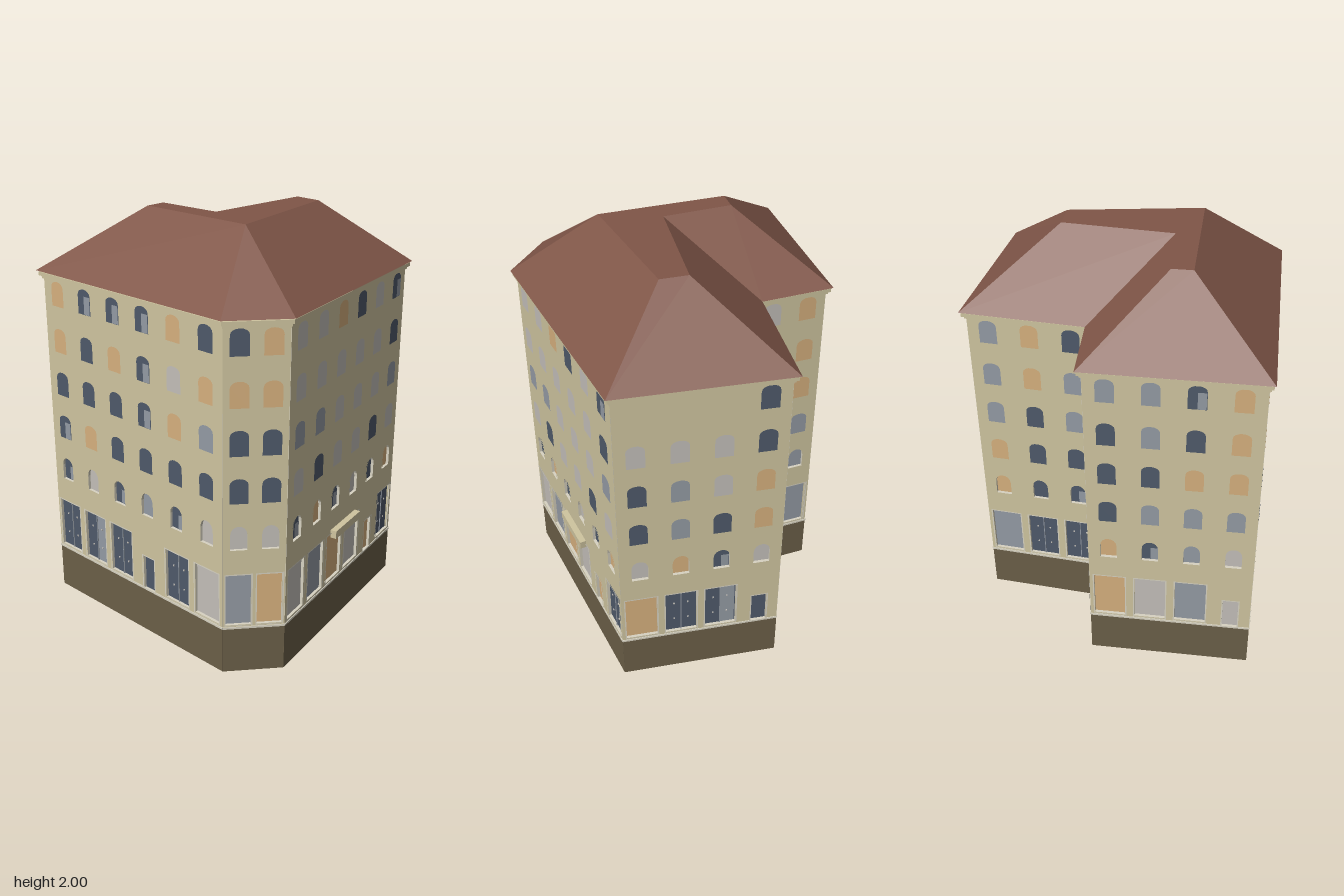
import * as THREE from 'three';

const mat = (name, color) => {
  const m = new THREE.MeshStandardMaterial({ color, side: THREE.DoubleSide });
  m.name = name;
  return m;
};
const M = {
  wall: mat('cream plaster', 0xcfc5a0),
  plinth: mat('brown stone', 0x6b5f48),
  roof: mat('red brown tile', 0x805648),
  trim: mat('pale trim', 0xd8d3c2),
  d: mat('dark glass', 0x4f5a6a),
  b: mat('blue grey glass', 0x949ba4),
  l: mat('light curtain', 0xc3bfb9),
  t: mat('tan blind', 0xd6b07e),
};

// Eave outline (x, z), going left to right as seen from outside
const EAVE = [[-0.86, 0.22], [0.16, 0.81], [0.45, 0.71], [0.855, -0.34],
  [0.205, -0.815], [-0.13, -0.335], [-0.44, -0.5]];
// Flat roof top: the corner above each eave corner
const TOP = [[-0.345, 0.085], [0.175, 0.385], [0.175, 0.385], [0.405, -0.21],
  [0.295, -0.28], [-0.007, 0.153], [-0.295, 0]];

// Window codes per facade, top floor to ground floor; h = half-drawn curtain, . = blank
const FACADES = [
  { name: 'frontFacade', door: 3, rows: ['thhhtd', 'tdthlt', 'dddhtb', 'htdddd', 'hlhbhl', 'dhdddl'] },
  { name: 'cornerFacade', door: -1, rows: ['dt', 'tt', 'dd', 'dd', 'll', 'bt'] },
  { name: 'leftFacade', door: 4, canopy: 3, rows: ['lltdlh', 'llllld', 'bblllb', 'ldlldl', 'hthldt', 'lbtltd'] },
  { name: 'backFacade', door: 3, rows: ['...d', 'llld', 'dblt', 'dbdt', 'lthl', 'tdhd'] },
  { name: 'innerFacade', door: -1, rows: ['btd', 'btb', 'bdb', 'tdd', 'tdh', 'bdd'] },
  { name: 'recessFacade', door: -1, rows: ['lt', 'lt', 'bt', 'db', 'lb', 'db'] },
  { name: 'rightFacade', door: 3, rows: ['bbht', 'dbdt', 'ddtt', 'dbbb', 'thbl', 'tlbl'] },
];
const UPPER_Y = [1.54, 1.31, 1.09, 0.865];
const WALL_BASE = 0.23, WALL_TOP = 1.68, THICK = 0.02;

function add(parent, name, geometry, material, x = 0, y = 0, z = 0) {
  const mesh = new THREE.Mesh(geometry, material);
  mesh.name = name;
  mesh.position.set(x, y, z);
  parent.add(mesh);
  return mesh;
}

// Shrinks the outline by d, meeting neighbouring edges at their crossing
function inset(points, d) {
  const n = points.length;
  const lines = points.map(([x, z], i) => {
    const [x2, z2] = points[(i + 1) % n];
    const len = Math.hypot(x2 - x, z2 - z);
    const nx = -(z2 - z) / len, nz = (x2 - x) / len;
    return [nx, nz, nx * x + nz * z - d];
  });
  return lines.map(([a, b, c], i) => {
    const [p, q, r] = lines[(i + n - 1) % n];
    const det = a * q - b * p;
    return [(c * q - b * r) / det, (a * r - c * p) / det];
  });
}

// Opening outlines, drawn into a Shape or a Path
function rect(p, x, y, w, h) {
  p.moveTo(x - w / 2, y).lineTo(x + w / 2, y).lineTo(x + w / 2, y + h).lineTo(x - w / 2, y + h);
  p.closePath();
  return p;
}
function arch(p, x, y, w, h, rise) {
  const s = y + h - rise;
  p.moveTo(x - w / 2, y).lineTo(x + w / 2, y).lineTo(x + w / 2, s);
  p.bezierCurveTo(x + w / 2, s + rise * 1.33, x - w / 2, s + rise * 1.33, x - w / 2, s);
  p.closePath();
  return p;
}
const plate = (shape) => new THREE.ShapeGeometry(shape, 8);

// A pane, with a curtain over the right half where coded h
function pane(g, code, name, draw, x, y, w, h, z, rise) {
  add(g, name, plate(draw(new THREE.Shape(), x, y, w, h, rise)), M[code === 'h' ? 'd' : code], 0, 0, z);
  if (code === 'h') {
    const ch = h - (rise || 0) - 0.004;
    add(g, 'curtain', plate(rect(new THREE.Shape(), x + w * 0.24, y + 0.002, w * 0.46, ch)), M.b, 0, 0, z + 0.002);
  }
}

function buildFacade([x1, z1], [x2, z2], spec) {
  const g = new THREE.Group();
  g.name = spec.name;
  g.position.set(x1, 0, z1);
  g.rotation.y = -Math.atan2(z2 - z1, x2 - x1);
  const len = Math.hypot(x2 - x1, z2 - z1);
  const n = spec.rows[0].length, step = len / n;
  const wall = rect(new THREE.Shape(), len / 2, WALL_BASE, len - 0.002, WALL_TOP - WALL_BASE);

  for (let i = 0; i < n; i++) {
    const x = (i + 0.5) * step;
    // Flush upper windows
    UPPER_Y.forEach((y, r) => {
      const code = spec.rows[r][i];
      if (code !== '.') pane(g, code, 'upperWindow', arch, x, y, 0.083, 0.12, 0.002, 0.03);
    });
    // Recessed round-arched windows
    wall.holes.push(arch(new THREE.Path(), x, 0.635, 0.078, 0.12, 0.045));
    pane(g, spec.rows[4][i], 'archedWindow', arch, x, 0.635, 0.078, 0.12, -0.014, 0.045);
    const surround = arch(new THREE.Shape(), x, 0.63, 0.088, 0.13, 0.05);
    surround.holes.push(arch(new THREE.Path(), x, 0.635, 0.078, 0.12, 0.045));
    add(g, 'archSurround', plate(surround), M.wall, 0, 0, 0.003);

    // Shop windows and doors
    const door = i === spec.door;
    const w = door ? 0.075 : Math.min(0.15, step * 0.82), y = door ? 0.235 : 0.25, h = door ? 0.18 : 0.26;
    wall.holes.push(rect(new THREE.Path(), x, y, w, h));
    pane(g, spec.rows[5][i], door ? 'door' : 'shopWindow', rect, x, y, w, h, -0.014);
    const frame = rect(new THREE.Shape(), x, y - 0.004, w + 0.012, h + 0.01);
    frame.holes.push(rect(new THREE.Path(), x, y, w, h));
    add(g, 'openingFrame', plate(frame), M.trim, 0, 0, 0.004);
    if (!door && 'dh'.includes(spec.rows[5][i])) {
      add(g, 'mullion', new THREE.BoxGeometry(0.004, h, 0.004), M.b, x, y + h / 2, -0.01);
      for (const sx of [-1, 1]) for (const sy of [0.3, 0.7])
        add(g, 'paneStud', new THREE.BoxGeometry(0.007, 0.007, 0.004), M.l, x + sx * w * 0.22, y + h * sy, -0.01);
    }
  }

  const wallGeo = new THREE.ExtrudeGeometry(wall, { depth: THICK, bevelEnabled: false, curveSegments: 8 });
  add(g, 'wall', wallGeo, [M.wall, M.trim], 0, 0, -THICK);
  add(g, 'plinth', new THREE.BoxGeometry(len - 0.001, WALL_BASE, THICK), M.plinth, len / 2, WALL_BASE / 2, -THICK / 2);
  add(g, 'sillBand', new THREE.BoxGeometry(len, 0.01, 0.006), M.trim, len / 2, 0.235, 0.001);
  // Canopy over the entrance
  if (spec.canopy)
    add(g, 'canopy', new THREE.BoxGeometry(0.25, 0.04, 0.03), M.wall, spec.canopy * step, 0.51, 0.015);
  return g;
}

// Horizontal ring following the outline
function ring(outer, inner, height) {
  const vec = ([x, z]) => new THREE.Vector2(x, -z);
  const shape = new THREE.Shape(inset(EAVE, outer).map(vec));
  shape.holes.push(new THREE.Path(inset(EAVE, inner).map(vec)));
  return new THREE.ExtrudeGeometry(shape, { depth: height, bevelEnabled: false }).rotateX(-Math.PI / 2);
}

// Hipped roof: one slope per eave edge and a flat top
function roofGeometry() {
  const pos = [];
  const low = EAVE.map(([x, z]) => [x, 1.7, z]), high = TOP.map(([x, z]) => [x, 2, z]);
  const n = low.length;
  for (let i = 0; i < n; i++) {
    const j = (i + 1) % n;
    pos.push(...low[i], ...low[j], ...high[j]);
    if (TOP[i].join() !== TOP[j].join()) pos.push(...low[i], ...high[j], ...high[i]);
  }
  for (const [a, b] of [[6, 0], [0, 1], [2, 3], [3, 4]]) pos.push(...high[5], ...high[a], ...high[b]);
  const geo = new THREE.BufferGeometry();
  geo.setAttribute('position', new THREE.Float32BufferAttribute(pos, 3));
  geo.computeVertexNormals();
  return geo;
}

export function createModel() {
  const model = new THREE.Group();
  model.name = 'cornerBuilding';
  const corners = inset(EAVE, 0.025);
  FACADES.forEach((spec, i) => model.add(buildFacade(corners[i], corners[(i + 1) % corners.length], spec)));
  add(model, 'corniceLower', ring(0.018, 0.04, 0.015), M.wall, 0, 1.662, 0);
  add(model, 'corniceUpper', ring(0.008, 0.04, 0.018), M.wall, 0, 1.676, 0);
  add(model, 'roof', roofGeometry(), M.roof);
  return model;
}
